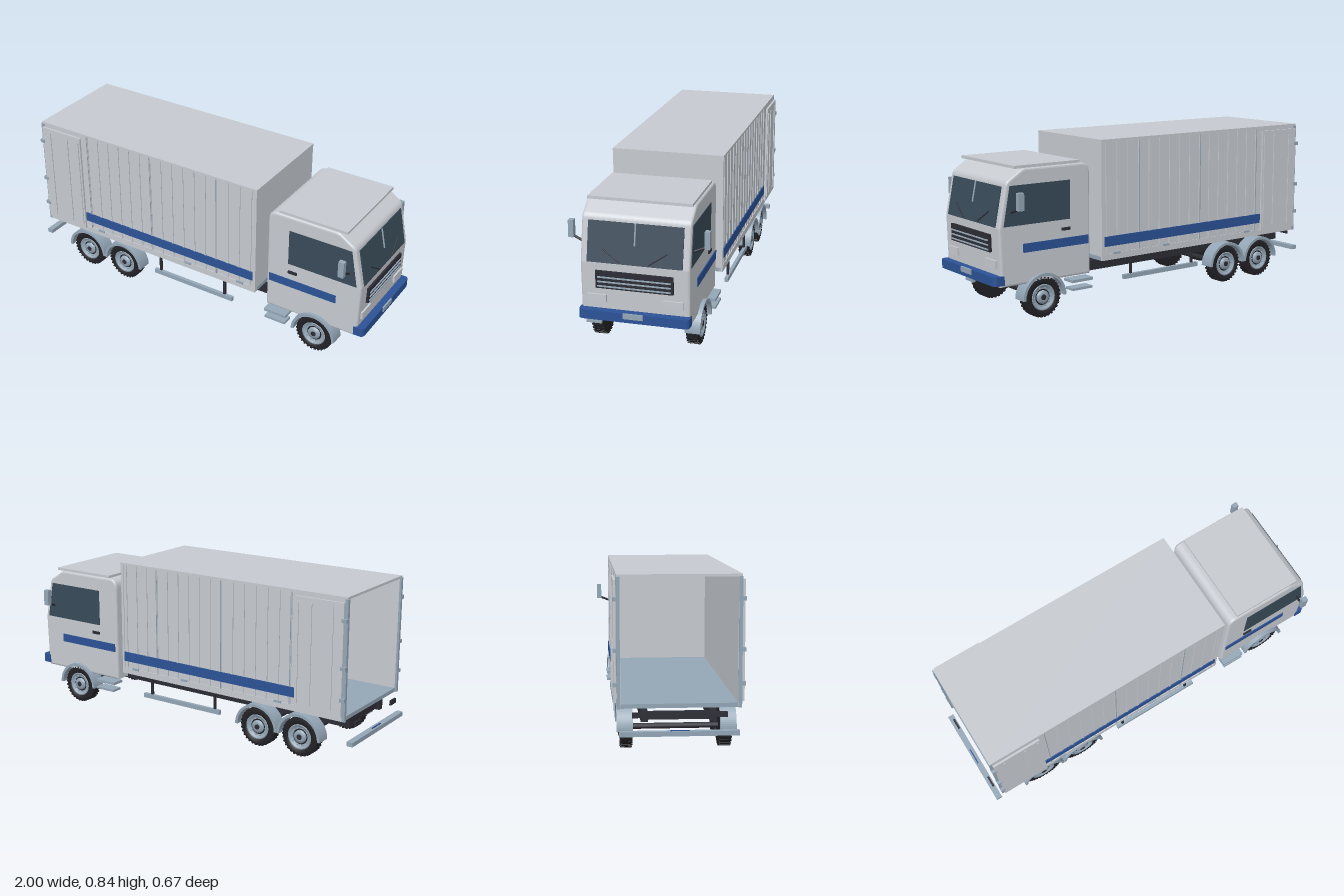
import * as THREE from 'three';

const mat = (name, color) => new THREE.MeshStandardMaterial({ name, color });

export function createModel() {
  const white = mat('bodyWhite', 0xc6cad0);
  const steel = mat('steelGrey', 0x94a6b6);
  const dark = mat('chassisDark', 0x2c2c35);
  const rubber = mat('tyreBlack', 0x222227);
  const glass = mat('windowGlass', 0x384a58);
  const blue = mat('stripeBlue', 0x2b5296);

  const model = new THREE.Group();
  model.name = 'boxTruck';
  const group = (name, parent = model) => {
    const g = new THREE.Group();
    g.name = name;
    parent.add(g);
    return g;
  };
  const add = (parent, name, geo, material, x = 0, y = 0, z = 0) => {
    const m = new THREE.Mesh(geo, material);
    m.name = name;
    m.position.set(x, y, z);
    parent.add(m);
    return m;
  };
  // Box given by its minimum and maximum on each axis
  const block = (parent, name, material, x0, x1, y0, y1, z0, z1) =>
    add(parent, name, new THREE.BoxGeometry(x1 - x0, y1 - y0, z1 - z0), material,
      (x0 + x1) / 2, (y0 + y1) / 2, (z0 + z1) / 2);
  // The same box on both sides of the truck
  const pair = (parent, name, material, x0, x1, y0, y1, z0, z1) => {
    block(parent, name + 'Left', material, x0, x1, y0, y1, z0, z1);
    block(parent, name + 'Right', material, x0, x1, y0, y1, -z1, -z0);
  };
  // Round bar between two points
  const bar = (parent, name, material, a, b, r) => {
    const p = new THREE.Vector3(...a), q = new THREE.Vector3(...b);
    const m = add(parent, name, new THREE.CylinderGeometry(r, r, p.distanceTo(q), 10), material);
    m.position.copy(p).add(q).multiplyScalar(0.5);
    m.quaternion.setFromUnitVectors(new THREE.Vector3(0, 1, 0), q.sub(p).normalize());
    return m;
  };

  // Chassis
  const chassis = group('chassis');
  pair(chassis, 'rail', dark, -0.93, 0.5, 0.168, 0.217, 0.142, 0.174);
  for (const x of [-0.9, -0.58, -0.3, 0, 0.3])
    block(chassis, 'crossMember', dark, x - 0.015, x + 0.015, 0.175, 0.21, -0.145, 0.145);
  pair(chassis, 'sideGuard', steel, -0.24, 0.25, 0.122, 0.145, 0.262, 0.28);
  for (const x of [-0.205, 0.2])
    pair(chassis, 'guardPost', dark, x - 0.006, x + 0.006, 0.14, 0.235, 0.262, 0.274);
  block(chassis, 'rearBumper', steel, -1, -0.968, 0.115, 0.137, -0.27, 0.27);
  block(chassis, 'rearPlate', blue, -0.99, -0.984, 0.13, 0.141, -0.044, 0.044);
  pair(chassis, 'tailLight', dark, -0.985, -0.975, 0.198, 0.222, 0.16, 0.215);

  // Cargo box, open at the back
  const cargo = group('cargoBox');
  const B0 = -0.95, B1 = 0.39;
  block(cargo, 'floor', steel, B0, B1, 0.235, 0.255, -0.275, 0.275);
  block(cargo, 'roof', white, B0 - 0.005, B1 + 0.002, 0.828, 0.84, -0.283, 0.283);
  block(cargo, 'frontWall', white, B1 - 0.015, B1, 0.24, 0.83, -0.275, 0.275);
  pair(cargo, 'sideWall', white, B0, B1, 0.235, 0.83, 0.266, 0.278);
  pair(cargo, 'bottomRail', white, B0, B1, 0.235, 0.268, 0.277, 0.283);
  pair(cargo, 'frontPost', white, B1 - 0.015, B1, 0.268, 0.83, 0.277, 0.282);
  pair(cargo, 'rearPost', steel, B0 - 0.01, B0 + 0.006, 0.235, 0.83, 0.268, 0.284);
  for (let i = 0; i < 16; i++) {
    const x = -0.655 + i * 0.0675;
    if (x < B1 - 0.02) pair(cargo, 'wallRib', white, x - 0.005, x + 0.005, 0.268, 0.828, 0.277, 0.283);
  }
  for (const x of [-0.655, -0.25, 0.155])
    pair(cargo, 'panelJoint', steel, x - 0.002, x + 0.002, 0.268, 0.828, 0.28, 0.2845);
  pair(cargo, 'sideStripe', blue, -0.69, 0.375, 0.305, 0.355, 0.28, 0.286);
  for (const x of [-0.59, -0.02, 0.3])
    pair(cargo, 'markerLight', steel, x - 0.02, x + 0.02, 0.262, 0.272, 0.28, 0.288);

  // Rear doors folded flat against the sides
  const doors = group('rearDoors');
  pair(doors, 'doorPanel', white, -0.945, -0.69, 0.26, 0.815, 0.286, 0.297);
  for (const x of [-0.89, -0.775, -0.703])
    pair(doors, 'lockRod', white, x - 0.003, x + 0.003, 0.285, 0.79, 0.296, 0.302);
  for (const y of [0.345, 0.5, 0.73])
    pair(doors, 'hinge', steel, -0.962, -0.935, y - 0.009, y + 0.009, 0.275, 0.3);

  // Cab body from its side profile, with bevelled edges
  const cab = group('cab');
  const s = new THREE.Shape();
  s.moveTo(0.445, 0.178);
  s.lineTo(0.955, 0.178);
  s.lineTo(0.962, 0.46);
  s.lineTo(0.922, 0.66);
  s.quadraticCurveTo(0.918, 0.678, 0.9, 0.688);
  s.lineTo(0.835, 0.73);
  s.lineTo(0.82, 0.735);
  s.lineTo(0.495, 0.735);
  s.quadraticCurveTo(0.445, 0.735, 0.445, 0.685);
  s.closePath();
  const shell = new THREE.ExtrudeGeometry(s, {
    depth: 0.496, bevelEnabled: true, bevelThickness: 0.012, bevelSize: 0.012,
    bevelOffset: -0.012, bevelSegments: 3, curveSegments: 8,
  });
  add(cab, 'cabBody', shell, white, 0, 0, -0.248);
  block(cab, 'roofPlate', white, 0.5, 0.868, 0.734, 0.748, -0.25, 0.25);

  // Windows
  const w = new THREE.Shape();
  w.moveTo(0.565, 0.467);
  w.lineTo(0.938, 0.467);
  w.lineTo(0.902, 0.658);
  w.lineTo(0.565, 0.658);
  w.closePath();
  const sideGlass = new THREE.ExtrudeGeometry(w, { depth: 0.006, bevelEnabled: false });
  add(cab, 'sideWindowLeft', sideGlass, glass, 0, 0, 0.257);
  add(cab, 'sideWindowRight', sideGlass, glass, 0, 0, -0.263);
  const screen = add(cab, 'windscreen', new THREE.BoxGeometry(0.008, 0.194, 0.454), glass, 0.943, 0.558, 0);
  screen.rotation.z = 0.197;
  bar(cab, 'screenRod', steel, [0.932, 0.655, 0], [0.953, 0.555, 0], 0.004);
  for (const k of [1, -1]) {
    bar(cab, 'wiper', dark, [0.955, 0.53, 0.155 * k], [0.967, 0.472, 0.068 * k], 0.003);
    bar(cab, 'mirrorArm', dark, [0.895, 0.53, 0.255 * k], [0.885, 0.556, 0.32 * k], 0.006);
  }
  pair(cab, 'mirror', steel, 0.87, 0.9, 0.548, 0.632, 0.312, 0.337);

  // Doors, stripe and steps
  pair(cab, 'cabStripe', blue, 0.46, 0.833, 0.333, 0.376, 0.258, 0.265);
  pair(cab, 'doorHandle', dark, 0.567, 0.615, 0.414, 0.428, 0.258, 0.268);
  pair(cab, 'upperStep', steel, 0.45, 0.575, 0.152, 0.166, 0.22, 0.29);
  pair(cab, 'lowerStep', steel, 0.455, 0.572, 0.112, 0.124, 0.23, 0.29);

  // Grille, lamps and bumper
  block(cab, 'grille', dark, 0.95, 0.972, 0.34, 0.425, -0.185, 0.185);
  for (const y of [0.352, 0.374, 0.396])
    block(cab, 'grilleSlat', steel, 0.97, 0.978, y - 0.003, y + 0.003, -0.175, 0.175);
  pair(cab, 'headlight', white, 0.95, 0.968, 0.268, 0.306, 0.136, 0.23);
  const b = new THREE.Shape();
  b.moveTo(0.94, -0.265);
  b.lineTo(0.975, -0.265);
  b.quadraticCurveTo(0.995, -0.265, 0.995, -0.235);
  b.lineTo(0.995, 0.235);
  b.quadraticCurveTo(0.995, 0.265, 0.975, 0.265);
  b.lineTo(0.94, 0.265);
  b.closePath();
  const bumper = add(cab, 'frontBumper',
    new THREE.ExtrudeGeometry(b, { depth: 0.045, bevelEnabled: false, curveSegments: 6 }), blue, 0, 0.235, 0);
  bumper.rotation.x = Math.PI / 2;
  block(cab, 'frontPlate', steel, 0.992, 1, 0.21, 0.236, -0.048, 0.048);

  // Wheels: tyre lathe, rim, hub and nuts, facing outwards along +z
  const lathe = (pts, n = 36) => {
    const g = new THREE.LatheGeometry(pts.map(p => new THREE.Vector2(...p)), n);
    return g.rotateX(Math.PI / 2);
  };
  const tyreGeo = lathe([[0, -0.028], [0.09, -0.028], [0.098, -0.022], [0.099, 0.022], [0.09, 0.028], [0.064, 0.028], [0.06, 0.012], [0, 0.012]]);
  const rimGeo = lathe([[0.065, 0.02], [0.065, 0.03], [0.058, 0.03], [0.05, 0.02], [0.04, 0.02]]);
  const dishGeo = lathe([[0.042, 0.018], [0, 0.018]]);
  const hubGeo = lathe([[0.033, 0.014], [0.033, 0.027], [0.018, 0.031], [0, 0.031]], 24);
  const capGeo = new THREE.CylinderGeometry(0.014, 0.014, 0.006, 16).rotateX(Math.PI / 2);
  const nutGeo = new THREE.CylinderGeometry(0.004, 0.004, 0.008, 6).rotateX(Math.PI / 2);
  const treadGeo = new THREE.BoxGeometry(0.009, 0.006, 0.056);
  rimGeo.computeVertexNormals();
  const rimSteel = steel.clone();
  rimSteel.name = 'rimSteel';
  rimSteel.side = THREE.DoubleSide;
  const rubberBoth = rubber;
  rubberBoth.side = THREE.DoubleSide;

  // Half-round mudguard, extruded across the wheel
  const f = new THREE.Shape();
  f.absarc(0, 0, 0.122, 0, Math.PI, false);
  f.absarc(0, 0, 0.108, Math.PI, 0, true);
  f.closePath();
  const guardGeo = new THREE.ExtrudeGeometry(f, { depth: 0.076, bevelEnabled: false, curveSegments: 20 });

  for (const [label, x] of [['front', 0.725], ['middle', -0.46], ['rear', -0.705]]) {
    const axle = group(label + 'Axle');
    bar(axle, 'axleShaft', dark, [x, 0.1, -0.21], [x, 0.1, 0.21], 0.014);
    for (const k of [1, -1]) {
      const wheel = group(label + (k > 0 ? 'WheelLeft' : 'WheelRight'), axle);
      wheel.position.set(x, 0.1, 0.233 * k);
      if (k < 0) wheel.rotation.y = Math.PI;
      add(wheel, 'tyre', tyreGeo, rubberBoth);
      add(wheel, 'rim', rimGeo, rimSteel);
      add(wheel, 'dish', dishGeo, rubberBoth);
      add(wheel, 'hub', hubGeo, rimSteel);
      add(wheel, 'hubCap', capGeo, dark, 0, 0, 0.03);
      for (let i = 0; i < 30; i++) {
        const a = i * Math.PI / 15;
        const t = add(wheel, 'tread', treadGeo, rubberBoth, Math.cos(a) * 0.097, Math.sin(a) * 0.097, 0);
        t.rotation.z = a + Math.PI / 2;
      }
      for (let i = 0; i < 10; i++) {
        const a = i * Math.PI / 5;
        add(wheel, 'wheelNut', nutGeo, steel, Math.cos(a) * 0.046, Math.sin(a) * 0.046, 0.022);
      }
      add(axle, 'mudguard', guardGeo, steel, x, 0.1, k > 0 ? 0.204 : -0.28);
    }
  }
  return model;
}
